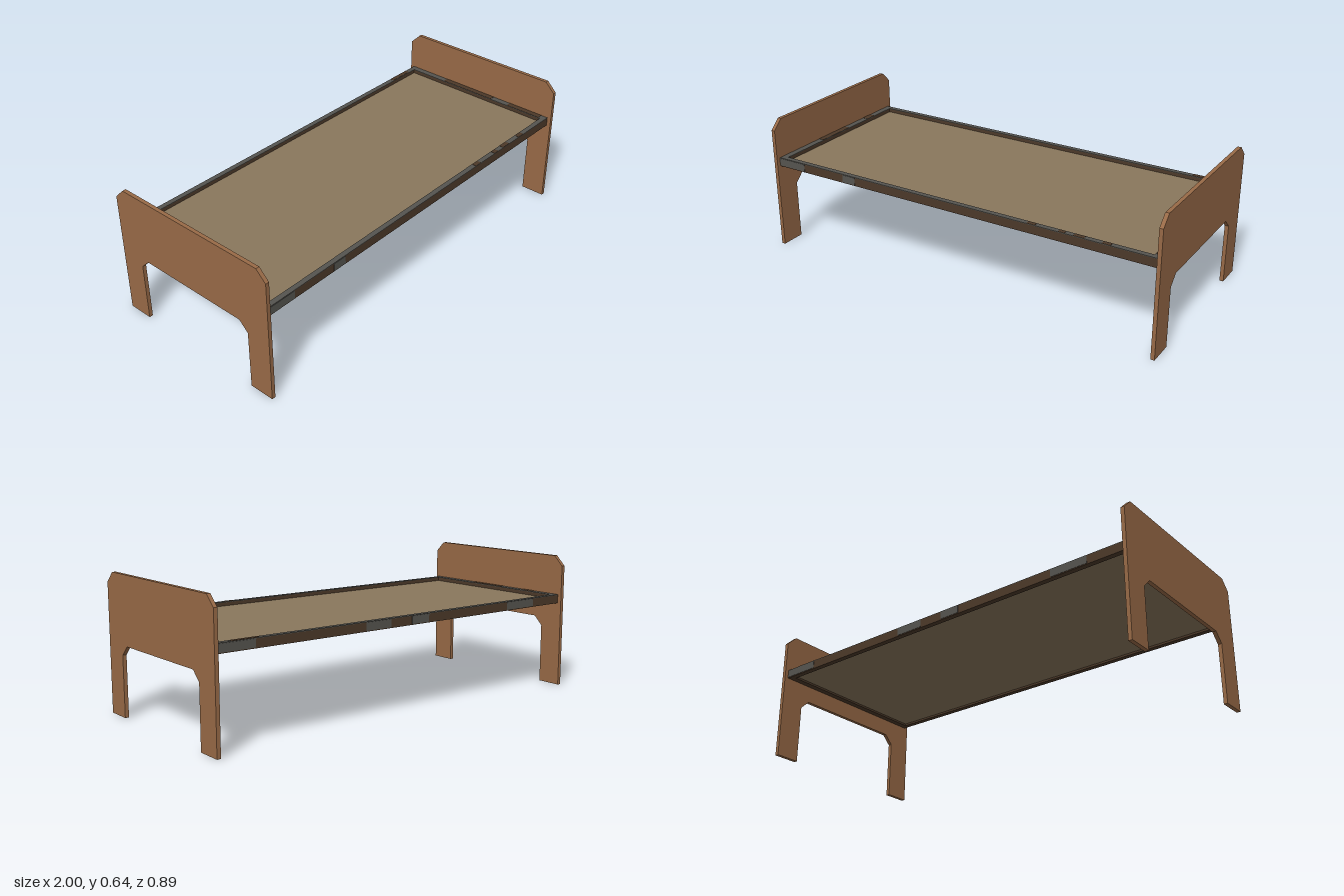
import * as THREE from 'three';

const mat = (name, color) => Object.assign(new THREE.MeshStandardMaterial({ color }), { name });

export function createModel() {
  const wood = mat('wood', 0x986a47);
  const canvas = mat('canvas', 0x89775c);
  const steel = mat('steel', 0x55544f);
  const rust = mat('rust', 0x4c3929);
  const bed = new THREE.Group();
  bed.name = 'bed';

  // Box given by its min and max corners
  const box = (name, material, x0, x1, y0, y1, z0, z1) => {
    const mesh = new THREE.Mesh(new THREE.BoxGeometry(x1 - x0, y1 - y0, z1 - z0), material);
    mesh.position.set((x0 + x1) / 2, (y0 + y1) / 2, (z0 + z1) / 2);
    mesh.name = name;
    bed.add(mesh);
  };

  // End boards: chamfered panel with an arch cut between two legs
  const half = [[0.325, 0], [0.445, 0], [0.445, 0.595], [0.396, 0.643]];
  const arch = [[0.28, 0.328], [0.325, 0.284]];
  const mirror = (pts) => pts.map(([x, y]) => [-x, y]).reverse();
  const outline = [...half, ...mirror(half), ...mirror(arch), ...arch];
  const shape = new THREE.Shape(outline.map(([x, y]) => new THREE.Vector2(x, y)));
  const boardGeo = new THREE.ExtrudeGeometry(shape, { depth: 0.018, bevelEnabled: false });
  boardGeo.translate(0, 0, -0.009).rotateY(Math.PI / 2);
  for (const [name, x] of [['leftEndBoard', 0.991], ['rightEndBoard', -0.991]]) {
    const board = new THREE.Mesh(boardGeo, wood);
    board.position.x = x;
    board.name = name;
    bed.add(board);
  }

  // Metal frame: rusted rails with bare steel along the upper edge
  const low = 0.41, high = 0.45, cap = 0.453;
  for (const [name, s] of [['frontRail', 1], ['backRail', -1]]) {
    const [z0, z1] = s > 0 ? [0.4, 0.425] : [-0.425, -0.4];
    box(name, rust, -0.982, 0.982, low, high, z0, z1);
    box(name + 'Top', steel, -0.982, 0.982, high, cap, z0, z1);
  }
  for (const [name, s] of [['leftRail', 1], ['rightRail', -1]]) {
    const [x0, x1] = s > 0 ? [0.952, 0.982] : [-0.982, -0.952];
    box(name, rust, x0, x1, low, high, -0.4, 0.4);
    box(name + 'Top', steel, x0, x1, high, cap, -0.4, 0.4);
  }

  // Worn steel patches on the outer rail faces
  for (const [x0, x1] of [[-0.982, -0.83], [-0.6, -0.53]])
    box('frontWear', steel, x0, x1, 0.414, high, 0.425, 0.4265);
  for (const [x0, x1] of [[0.8, 0.982], [0.1, 0.24], [-0.12, -0.02], [-0.8, -0.62]])
    box('backWear', steel, x0, x1, 0.414, high, -0.4265, -0.425);

  // Rust patches on the upper edge
  for (const [x0, x1] of [[0.38, 0.42], [0.53, 0.56], [0.6, 0.65], [0.73, 0.77]])
    box('frontRust', rust, x0, x1, cap, cap + 0.001, 0.402, 0.424);
  box('backRust', rust, 0.78, 0.91, cap, cap + 0.001, -0.425, -0.403);
  for (const [z0, z1] of [[-0.27, -0.21], [-0.06, 0.14]])
    box('rightRust', rust, -0.982, -0.954, cap, cap + 0.001, z0, z1);
  for (const [z0, z1] of [[-0.2, 0.1], [0.2, 0.39]])
    box('leftRust', rust, 0.954, 0.982, cap, cap + 0.001, z0, z1);

  // Sunken lying surface
  box('lyingSurface', canvas, -0.952, 0.952, 0.42, 0.434, -0.4, 0.4);
  return bed;
}
